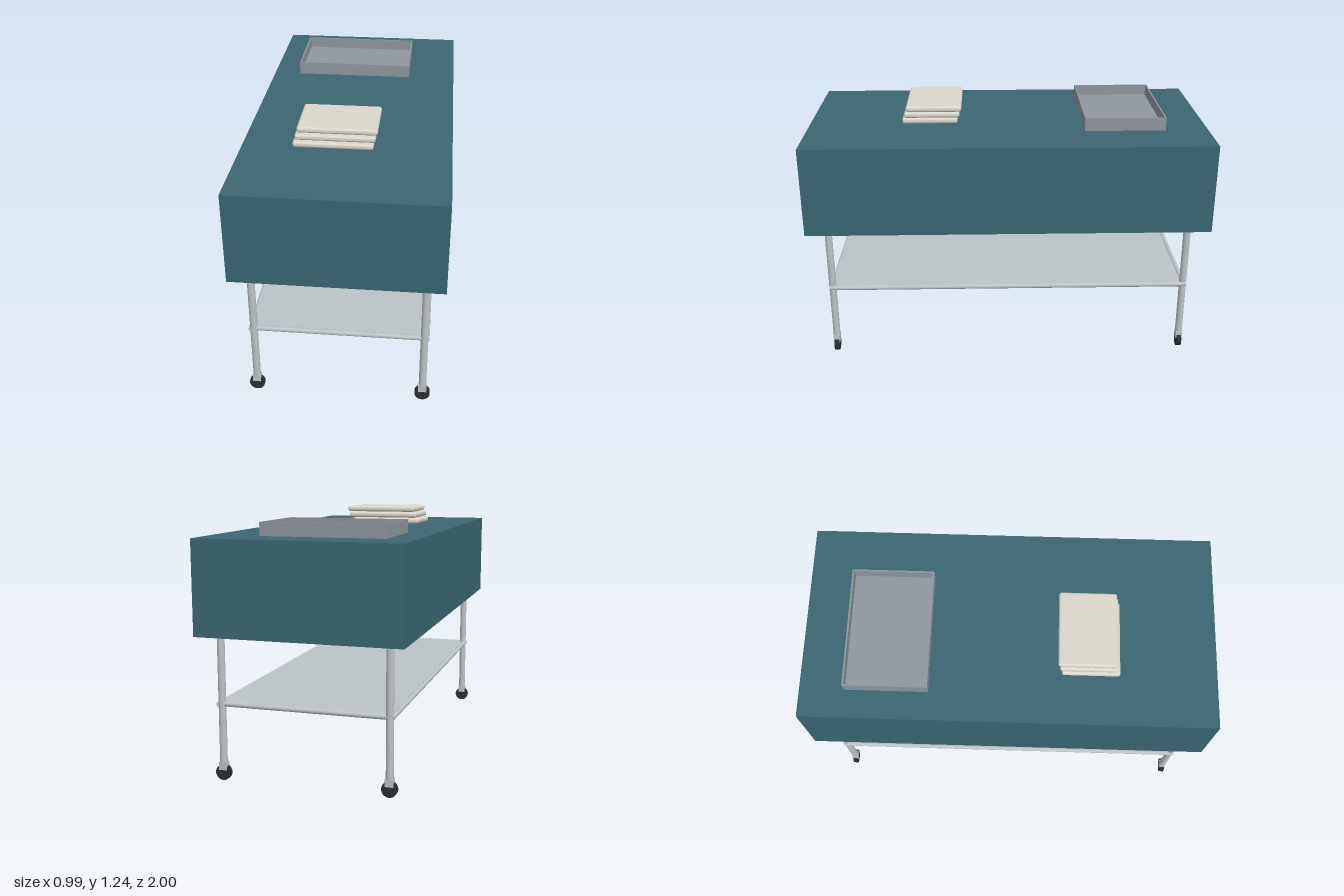
import * as THREE from 'three';
import { RoundedBoxGeometry } from 'three/addons/geometries/RoundedBoxGeometry.js';

const mat = (color) => new THREE.MeshStandardMaterial({ color });

export function createModel() {
  const model = new THREE.Group();
  const teal = mat(0x3a6672);
  const steel = mat(0xbcc3c6);
  const trayGrey = mat(0x8f969e);
  const linen = mat(0xdcd7cc);
  const rubber = mat(0x2a2e33);

  const add = (name, geometry, material, x, y, z, parent = model) => {
    const mesh = new THREE.Mesh(geometry, material);
    mesh.name = name;
    mesh.position.set(x, y, z);
    parent.add(mesh);
    return mesh;
  };
  const box = (name, w, h, d, material, x, y, z, parent) =>
    add(name, new THREE.BoxGeometry(w, h, d), material, x, y, z, parent);

  // Draped cloth: thin top and four hanging sides, open underneath
  const W = 0.986, L = 2, T = 0.006, TOP = 1.147, HEM = 0.7;
  const cloth = new THREE.Group();
  cloth.name = 'tableCloth';
  model.add(cloth);
  box('clothTop', W, T, L, teal, 0, TOP - T / 2, 0, cloth);
  const drop = TOP - T - HEM;
  for (const s of [-1, 1]) {
    box('clothSide', T, drop, L, teal, s * (W - T) / 2, HEM + drop / 2, 0, cloth);
    box('clothEnd', W - 2 * T, drop, T, teal, 0, HEM + drop / 2, s * (L - T) / 2, cloth);
  }

  // Table top beneath the cloth
  box('tableTop', W - 2 * T, 0.012, L - 2 * T, steel, 0, TOP - T - 0.006, 0);

  // Legs with casters
  const legX = 0.405, legZ = 0.9;
  const legGeo = new THREE.CylinderGeometry(0.018, 0.018, 1.05, 20);
  const wheelGeo = new THREE.CylinderGeometry(0.037, 0.037, 0.024, 28).rotateX(Math.PI / 2);
  for (const sx of [-1, 1]) {
    for (const sz of [-1, 1]) {
      const leg = new THREE.Group();
      leg.name = 'leg';
      leg.position.set(sx * legX, 0, sz * legZ);
      model.add(leg);
      add('legTube', legGeo, steel, 0, 0.605, 0, leg);
      box('casterFork', 0.04, 0.038, 0.032, steel, 0, 0.069, 0, leg);
      add('casterWheel', wheelGeo, rubber, 0, 0.037, 0, leg);
    }
  }

  // Lower shelf and its frame rails
  const railY = 0.37, railR = 0.0125;
  box('shelf', 0.82, 0.012, 1.8, steel, 0, railY, 0);
  const longRail = new THREE.CylinderGeometry(railR, railR, 1.83, 16).rotateX(Math.PI / 2);
  const shortRail = new THREE.CylinderGeometry(railR, railR, 0.82, 16).rotateZ(Math.PI / 2);
  for (const s of [-1, 1]) {
    add('longRail', longRail, steel, s * 0.416, railY, 0);
    add('shortRail', shortRail, steel, 0, railY, s * legZ);
  }

  // Open tray
  const tray = new THREE.Group();
  tray.name = 'tray';
  tray.position.set(-0.052, TOP, -0.585);
  model.add(tray);
  const tw = 0.604, td = 0.404, th = 0.065, tt = 0.008;
  box('trayFloor', tw, 0.01, td, trayGrey, 0, 0.005, 0, tray);
  for (const s of [-1, 1]) {
    box('traySide', tt, th, td, trayGrey, s * (tw - tt) / 2, th / 2, 0, tray);
    box('trayEnd', tw - 2 * tt, th, tt, trayGrey, 0, th / 2, s * (td - tt) / 2, tray);
  }

  // Stack of folded towels, each shifted a little
  const towelGeo = new RoundedBoxGeometry(0.38, 0.029, 0.28, 4, 0.012);
  for (let i = 0; i < 3; i++) {
    add('towel', towelGeo, linen, -0.063 + i * 0.009, 1.164 + i * 0.033, 0.392 - i * 0.01);
  }

  return model;
}
